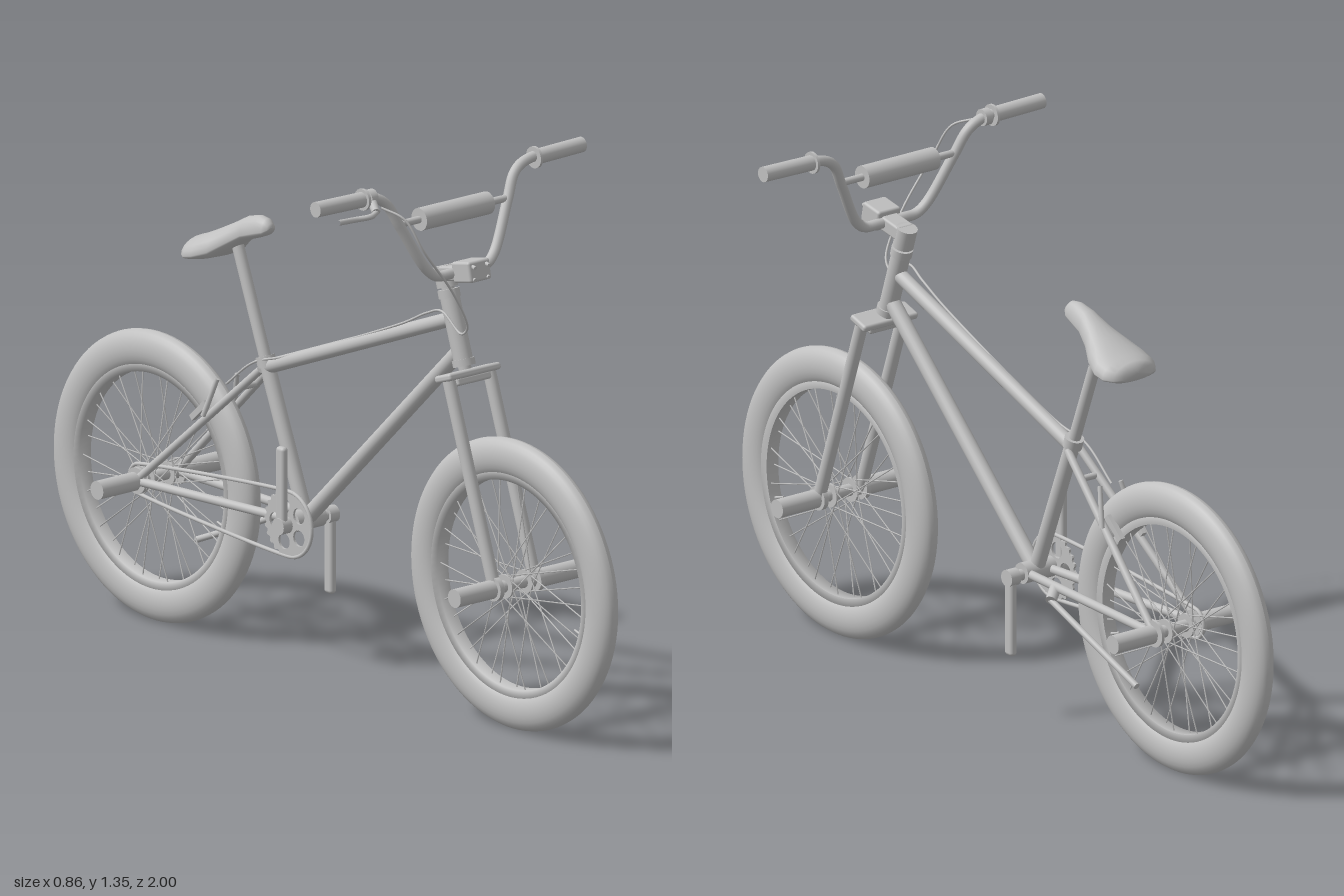
import * as THREE from 'three';
import { RoundedBoxGeometry } from 'three/addons/geometries/RoundedBoxGeometry.js';

const grey = new THREE.MeshStandardMaterial({ color: 0xc0c0c0 });
const V = (x, y, z) => new THREE.Vector3(x, y, z);
const UP = V(0, 1, 0);

function add(group, name, geometry, position) {
  const mesh = new THREE.Mesh(geometry, grey);
  mesh.name = name;
  if (position) mesh.position.copy(position);
  group.add(mesh);
  return mesh;
}

// straight round tube between two points
function rod(group, name, a, b, ra, rb = ra, sides = 20) {
  const d = b.clone().sub(a);
  const m = add(group, name, new THREE.CylinderGeometry(rb, ra, d.length(), sides), a.clone().add(b).multiplyScalar(0.5));
  m.quaternion.setFromUnitVectors(UP, d.normalize());
  return m;
}

// round part lying along x
const axleRod = (g, name, x0, x1, y, z, r, sides = 24) => rod(g, name, V(x0, y, z), V(x1, y, z), r, r, sides);

function bentTube(group, name, points, r, segments = 60, closed = false) {
  const curve = new THREE.CatmullRomCurve3(points, closed, 'centripetal');
  return add(group, name, new THREE.TubeGeometry(curve, segments, r, 12, closed));
}

// closed ring around the x axis from a profile of (radius, width)
function ring(group, name, profile, segments = 96) {
  const m = add(group, name, new THREE.LatheGeometry(profile.map(p => new THREE.Vector2(p[0], p[1])), segments));
  m.rotation.z = Math.PI / 2;
  return m;
}

function buildWheel(name, z) {
  const wheel = new THREE.Group();
  wheel.name = name;
  wheel.position.set(0, 0.36, z);
  const tyre = [];
  for (let i = 0; i <= 24; i++) {
    const t = i / 24 * Math.PI * 2;
    tyre.push([0.312 + 0.048 * Math.cos(t), 0.031 * Math.sin(t)]);
  }
  ring(wheel, 'tyre', tyre);
  ring(wheel, 'rim', [[0.258, -0.018], [0.285, -0.022], [0.285, 0.022], [0.258, 0.018], [0.258, -0.018]]);
  axleRod(wheel, 'hub', -0.045, 0.045, 0, 0, 0.015);
  // crossed spokes, alternating sides
  for (let i = 0; i < 36; i++) {
    const a = i / 36 * Math.PI * 2;
    const side = i % 2 ? 1 : -1;
    const h = a + (Math.floor(i / 2) % 2 ? 1.2 : -1.2);
    rod(wheel, 'spoke', V(side * 0.032, 0.026 * Math.sin(h), 0.026 * Math.cos(h)),
      V(side * 0.006, 0.26 * Math.sin(a), 0.26 * Math.cos(a)), 0.0018, 0.0018, 5);
  }
  rod(wheel, 'valve', V(0, -0.08, 0.245), V(0, -0.07, 0.215), 0.004, 0.003, 8);
  for (const s of [-1, 1]) {
    axleRod(wheel, 'hubFlange', s * 0.029, s * 0.035, 0, 0, 0.03);
    axleRod(wheel, 'axleNut', s * 0.045, s * 0.088, 0, 0, 0.018, 6);
    axleRod(wheel, 'peg', s * 0.075, s * 0.195, 0, 0, 0.023);
  }
  return wheel;
}

// seat lofted from nose to tail: z, half width, top, bottom
function buildSeat() {
  const sections = [
    [-0.231, 0.001, 1.066, 1.064], [-0.233, 0.014, 1.074, 1.054], [-0.245, 0.022, 1.085, 1.042],
    [-0.27, 0.027, 1.088, 1.032], [-0.31, 0.033, 1.078, 1.018], [-0.35, 0.046, 1.056, 0.992],
    [-0.39, 0.068, 1.036, 0.963], [-0.43, 0.083, 1.017, 0.95], [-0.46, 0.082, 1.004, 0.945],
    [-0.482, 0.066, 0.996, 0.945], [-0.493, 0.042, 0.988, 0.95], [-0.497, 0.001, 0.972, 0.97]];
  const n = 24, pos = [], idx = [];
  sections.forEach(([z, w, top, bottom], i) => {
    const mid = bottom + (top - bottom) * 0.25;
    for (let j = 0; j < n; j++) {
      const t = j / n * Math.PI * 2, s = Math.sin(t);
      pos.push(w * Math.cos(t), mid + s * (s > 0 ? top - mid : mid - bottom), z);
      if (i < sections.length - 1) {
        const a = i * n + j, b = i * n + (j + 1) % n;
        idx.push(a, a + n, b, b, a + n, b + n);
      }
    }
  });
  const g = new THREE.BufferGeometry();
  g.setAttribute('position', new THREE.Float32BufferAttribute(pos, 3));
  g.setIndex(idx);
  g.computeVertexNormals();
  return g;
}

function buildFrame() {
  const f = new THREE.Group();
  f.name = 'frame';
  const bb = V(0, 0.365, -0.107), cluster = V(0, 0.715, -0.245);
  rod(f, 'headTube', V(0, 0.875, 0.457), V(0, 1.035, 0.405), 0.024);
  rod(f, 'topTube', V(0, 0.975, 0.418), cluster, 0.018);
  rod(f, 'downTube', V(0, 0.9, 0.445), bb, 0.02);
  rod(f, 'seatTube', bb, V(0, 0.735, -0.252), 0.019);
  rod(f, 'seatClamp', V(0, 0.715, -0.245), V(0, 0.74, -0.254), 0.024);
  rod(f, 'seatPost', V(0, 0.72, -0.247), V(0, 1.01, -0.357), 0.015);
  axleRod(f, 'bottomBracket', -0.045, 0.045, 0.365, -0.107, 0.026);
  for (const s of [-1, 1]) {
    rod(f, 'seatStay', V(s * 0.018, 0.71, -0.25), V(s * 0.066, 0.37, -0.63), 0.01);
    rod(f, 'chainStay', V(s * 0.032, 0.365, -0.115), V(s * 0.066, 0.36, -0.63), 0.011);
    axleRod(f, 'dropout', s * 0.061, s * 0.069, 0.36, -0.64, 0.033);
    // rear brake arm and pad
    rod(f, 'brakeArm', V(s * 0.05, 0.565, -0.42), V(s * 0.032, 0.66, -0.39), 0.007, 0.006, 10);
    const pad = add(f, 'brakePad', new THREE.BoxGeometry(0.014, 0.015, 0.07), V(s * 0.034, 0.57, -0.45));
    pad.rotation.x = -0.75;
  }
  axleRod(f, 'stayBridge', -0.03, 0.03, 0.655, -0.31, 0.008);
  add(f, 'seat', buildSeat());
  // kickstand on the left
  rod(f, 'kickstandMount', V(0.04, 0.36, -0.23), V(0.07, 0.34, -0.25), 0.014);
  rod(f, 'kickstand', V(0.065, 0.34, -0.24), V(0.06, 0.205, -0.565), 0.008);
  return f;
}

function buildCrankset() {
  const c = new THREE.Group();
  c.name = 'crankset';
  c.position.set(0, 0.362, -0.107);
  axleRod(c, 'spindle', -0.085, 0.085, 0, 0, 0.014);
  for (const s of [-1, 1]) {
    const arm = add(c, 'crankArm', new RoundedBoxGeometry(0.02, 0.215, 0.03, 3, 0.009), V(s * 0.078, -s * 0.09, 0));
    arm.scale.y = 1;
    axleRod(c, 'crankBoss', s * 0.062, s * 0.091, 0, 0, 0.021);
  }
  // toothed chainring with round openings
  const shape = new THREE.Shape();
  for (let i = 0; i < 100; i++) {
    const a = i / 100 * Math.PI * 2, r = i % 4 < 2 ? 0.085 : 0.079;
    shape[i ? 'lineTo' : 'moveTo'](r * Math.cos(a), r * Math.sin(a));
  }
  for (let i = 0; i < 5; i++) {
    const a = i / 5 * Math.PI * 2;
    shape.holes.push(new THREE.Path().absarc(0.047 * Math.cos(a), 0.047 * Math.sin(a), 0.02, 0, Math.PI * 2, true));
  }
  const plate = new THREE.ExtrudeGeometry(shape, { depth: 0.006, bevelEnabled: false, curveSegments: 14 });
  add(c, 'chainring', plate, V(-0.058, 0, 0)).rotation.y = Math.PI / 2;
  axleRod(c, 'sprocket', -0.058, -0.052, 0, -0.533, 0.033, 18);
  // chain loop around chainring and sprocket
  const loop = [];
  for (let i = 0; i <= 10; i++) {
    const a = -Math.PI / 2 + i / 10 * Math.PI;
    loop.push(V(-0.055, 0.081 * Math.sin(a), 0.081 * Math.cos(a)));
  }
  for (let i = 0; i <= 6; i++) {
    const a = Math.PI / 2 + i / 6 * Math.PI;
    loop.push(V(-0.055, 0.038 * Math.sin(a), -0.533 + 0.038 * Math.cos(a)));
  }
  bentTube(c, 'chain', loop, 0.005, 140, true);
  return c;
}

function buildSteering() {
  const g = new THREE.Group();
  g.name = 'steering';
  // fork
  const tilt = -0.33;
  for (const s of [-1, 1]) {
    rod(g, 'forkLeg', V(s * 0.065, 0.36, 0.64), V(s * 0.065, 0.85, 0.475), 0.016);
    axleRod(g, 'forkDropout', s * 0.059, s * 0.072, 0.36, 0.64, 0.03);
  }
  add(g, 'forkCrown', new RoundedBoxGeometry(0.168, 0.018, 0.06, 2, 0.007), V(0, 0.851, 0.472)).rotation.x = tilt;
  add(g, 'crownBlock', new RoundedBoxGeometry(0.11, 0.02, 0.045, 2, 0.006), V(0, 0.836, 0.476)).rotation.x = tilt;
  rod(g, 'steerer', V(0, 0.85, 0.465), V(0, 1.1, 0.384), 0.016);
  rod(g, 'lowerCup', V(0, 0.866, 0.46), V(0, 0.882, 0.455), 0.028);
  rod(g, 'upperCup', V(0, 1.025, 0.408), V(0, 1.045, 0.402), 0.027);
  // stem
  rod(g, 'stemClamp', V(0, 1.05, 0.4), V(0, 1.1, 0.384), 0.026);
  add(g, 'stemBody', new RoundedBoxGeometry(0.05, 0.036, 0.08, 2, 0.006), V(0, 1.093, 0.43)).rotation.x = -0.2;
  add(g, 'stemBlock', new RoundedBoxGeometry(0.07, 0.052, 0.065, 2, 0.007), V(0, 1.109, 0.485)).rotation.x = -0.2;
  for (const x of [-0.022, 0.022]) for (const y of [1.1, 1.13])
    rod(g, 'stemBolt', V(x, y, 0.5), V(x, y - 0.004, 0.524), 0.005, 0.005, 10);
  // handlebar
  const half = [[0.04, 1.1], [0.08, 1.102], [0.11, 1.125], [0.175, 1.24], [0.208, 1.298], [0.25, 1.32], [0.42, 1.324]];
  const at = (x, y) => V(x, y, 0.45 - (y - 1.1) * 0.21);
  const path = [...half.map(([x, y]) => at(-x, y)).reverse(), ...half.map(([x, y]) => at(x, y))];
  bentTube(g, 'handlebar', path, 0.013, 120);
  rod(g, 'crossbar', at(-0.175, 1.243), at(0.175, 1.243), 0.009);
  rod(g, 'crossbarPad', at(-0.11, 1.243), at(0.11, 1.243), 0.028);
  for (const s of [-1, 1]) {
    rod(g, 'grip', at(s * 0.278, 1.321), at(s * 0.43, 1.324), 0.019);
    rod(g, 'gripFlange', at(s * 0.274, 1.321), at(s * 0.281, 1.321), 0.027);
  }
  // brake lever on the right
  rod(g, 'leverClamp', at(-0.265, 1.321), at(-0.245, 1.321), 0.021);
  rod(g, 'leverBody', V(-0.255, 1.315, 0.41), V(-0.275, 1.298, 0.448), 0.012, 0.01, 12);
  bentTube(g, 'brakeLever', [V(-0.262, 1.297, 0.44), V(-0.3, 1.294, 0.458), V(-0.34, 1.292, 0.448), V(-0.4, 1.296, 0.452)], 0.007, 30);
  // cable down to the rear brake
  bentTube(g, 'brakeCable', [V(-0.255, 1.305, 0.445), V(-0.225, 1.28, 0.495), V(-0.19, 1.2, 0.525), V(-0.1, 1.08, 0.53),
    V(-0.04, 0.98, 0.515), V(-0.03, 0.955, 0.48), V(-0.026, 0.995, 0.41), V(-0.012, 0.975, 0.34), V(-0.01, 0.93, 0.25),
    V(-0.01, 0.755, -0.18), V(-0.022, 0.725, -0.27), V(-0.02, 0.65, -0.37)], 0.003, 140);
  return g;
}

export function createModel() {
  const bike = new THREE.Group();
  bike.name = 'bicycle';
  bike.add(buildWheel('frontWheel', 0.64), buildWheel('rearWheel', -0.64), buildFrame(), buildCrankset(), buildSteering());
  return bike;
}
